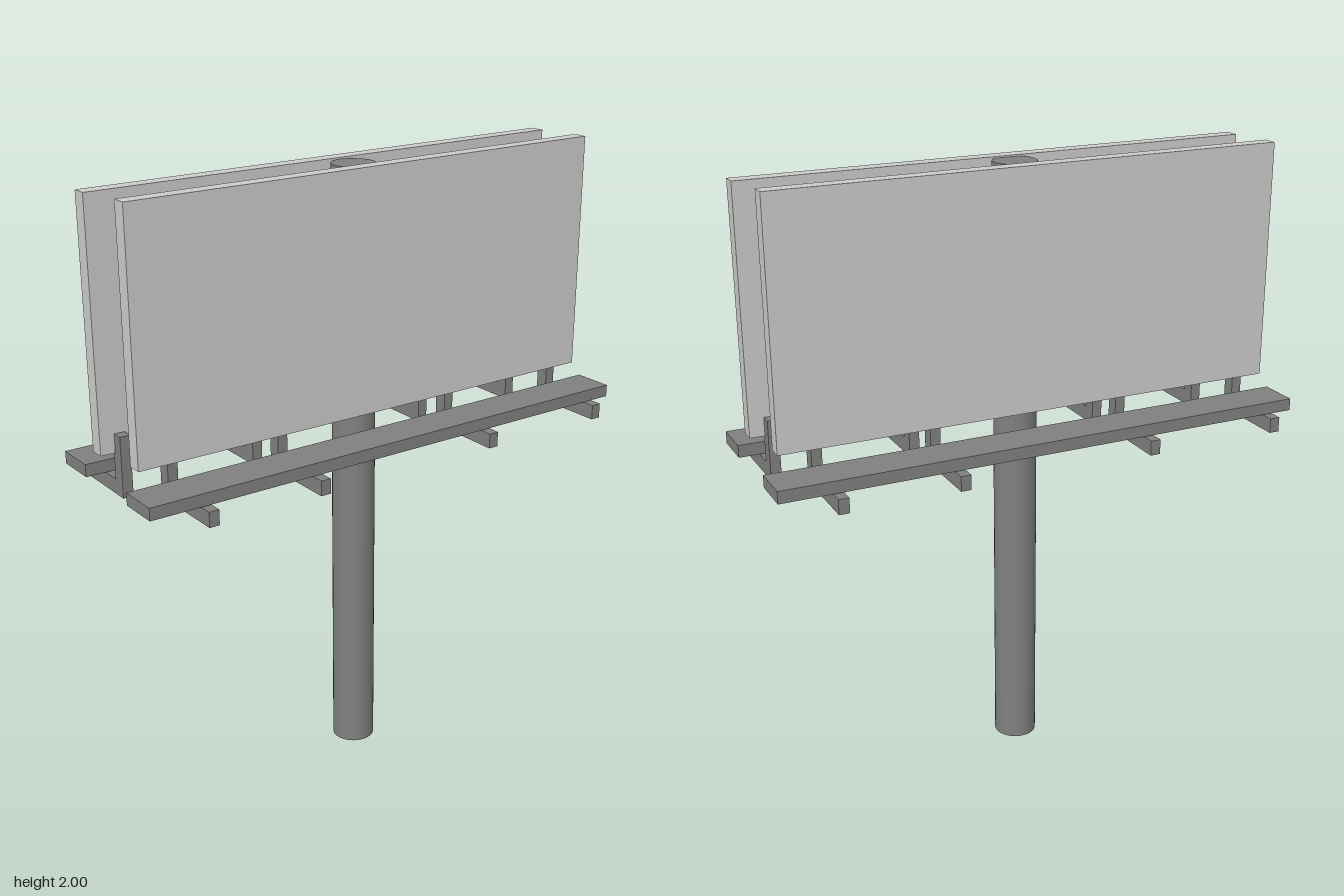
import * as THREE from 'three';

const panelMat = new THREE.MeshStandardMaterial({ color: 0xcccccc });
const steelMat = new THREE.MeshStandardMaterial({ color: 0x808080 });

// Box given by its extents along each axis
function box(name, [x0, x1], [y0, y1], [z0, z1], material) {
  const mesh = new THREE.Mesh(new THREE.BoxGeometry(x1 - x0, y1 - y0, z1 - z0), material);
  mesh.position.set((x0 + x1) / 2, (y0 + y1) / 2, (z0 + z1) / 2);
  mesh.name = name;
  return mesh;
}

// One face of the billboard: panel, walkway and the L-shaped brackets below
function createSide(name) {
  const side = new THREE.Group();
  side.name = name;
  side.add(box('panel', [-0.833, 0.865], [1.22, 2], [0.062, 0.11], panelMat));
  side.add(box('walkway', [-0.885, 0.885], [1.136, 1.176], [0.129, 0.264], steelMat));

  for (const x of [-0.7, -0.313, 0.345, 0.8]) {
    const span = [x - 0.017, x + 0.017];
    const bracket = new THREE.Group();
    bracket.name = 'bracket';
    bracket.add(box('bracketArm', span, [1.085, 1.134], [0.07, 0.303], steelMat));
    bracket.add(box('bracketPost', span, [1.085, 1.28], [0.027, 0.07], steelMat));
    side.add(bracket);
  }
  return side;
}

export function createModel() {
  const model = new THREE.Group();
  model.name = 'billboard';

  // Supporting pole
  const pole = new THREE.Mesh(new THREE.CylinderGeometry(0.07, 0.07, 1.995, 32), steelMat);
  pole.position.set(0, 0.9975, 0.009);
  pole.name = 'pole';
  model.add(pole);

  // The back is the front turned half way round
  const back = createSide('backSide');
  back.rotation.y = Math.PI;
  model.add(createSide('frontSide'), back);
  return model;
}
